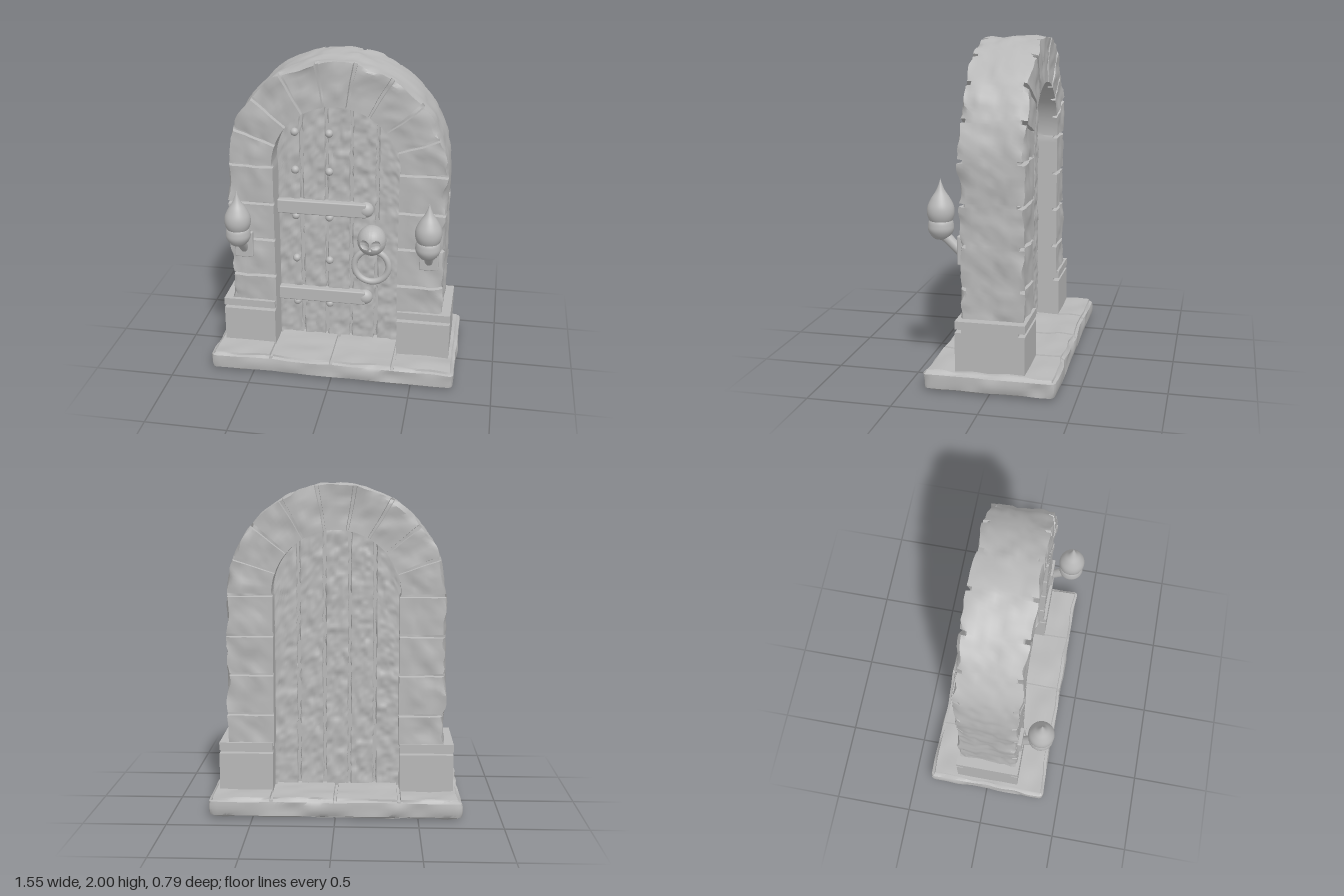
import * as THREE from 'three';
import { mergeVertices, toCreasedNormals } from 'three/addons/utils/BufferGeometryUtils.js';
import { RoundedBoxGeometry } from 'three/addons/geometries/RoundedBoxGeometry.js';

const stone = new THREE.MeshStandardMaterial({ color: 0xb8b8b8 });
stone.name = 'grey stone';

// Smooth repeatable noise in -1..1
function hash(i, j, k) {
  const s = Math.sin(i * 127.1 + j * 311.7 + k * 74.7) * 43758.5453;
  return s - Math.floor(s);
}
function noise(x, y, z) {
  const p = [x, y, z], b = p.map(Math.floor);
  const f = p.map((v, n) => (v - b[n]) ** 2 * (3 - 2 * (v - b[n])));
  let sum = 0;
  for (let c = 0; c < 8; c++) {
    const d = [c & 1, (c >> 1) & 1, c >> 2];
    const w = d.reduce((a, on, n) => a * (on ? f[n] : 1 - f[n]), 1);
    sum += w * hash(b[0] + d[0], b[1] + d[1], b[2] + d[2]);
  }
  return sum * 2 - 1;
}

// Move every vertex by a rule, then rebuild normals with sharp creases
function reshape(geometry, rule, crease = 0.65) {
  geometry.deleteAttribute('uv');
  geometry.deleteAttribute('normal');
  const g = mergeVertices(geometry, 1e-5), p = g.attributes.position;
  for (let i = 0; i < p.count; i++) p.setXYZ(i, ...rule(p.getX(i), p.getY(i), p.getZ(i)));
  return toCreasedNormals(g, crease);
}

// Positions along a course of stones, with four tight cuts round each joint
function courseCuts(start, end, joints, parts) {
  const cuts = [start];
  [...joints, end].forEach((j, n, all) => {
    const a = cuts[cuts.length - 1], b = n < all.length - 1 ? j - 0.011 : j;
    for (let i = 1; i <= parts; i++) cuts.push(a + (b - a) * i / parts);
    if (n < all.length - 1) cuts.push(j - 0.008, j + 0.008, j + 0.011);
  });
  return cuts;
}
const inJoint = (s, joints) => joints.some(j => Math.abs(s - j) < 0.0085);

function add(parent, name, geometry, x = 0, y = 0, z = 0) {
  const mesh = new THREE.Mesh(geometry, stone);
  mesh.name = name;
  mesh.position.set(x, y, z);
  parent.add(mesh);
  return mesh;
}

// Paved slab with worn, rounded edges and joints across the top
function baseSlab() {
  const joints = [-0.385, 0, 0.385], cuts = courseCuts(-0.76, 0.76, joints, 14), n = cuts.length - 1;
  return reshape(new THREE.BoxGeometry(n, 1, 2, n, 6, 32), (i, h, d) => {
    const x = cuts[Math.round(i + n / 2)], t = h + 0.5;
    const endX = Math.abs(x) > 0.75, endZ = Math.abs(d) > 0.99;
    const rim = Math.abs(h) > 0.49 ? 0.02 : Math.abs(h) > 0.3 ? 0.003 : 0;
    let y = t * 0.128;
    if (t > 0.99) {
      y += 0.008 * noise(x * 7, 3, d * 4);
      if (endX || endZ) y -= 0.012;
      if (inJoint(x, joints)) y -= 0.015;
    }
    if (t < 0.01) y += 0.007 + 0.007 * noise(x * 12, 11, d * 5) + (endX || endZ ? 0.006 : 0);
    const corner = endX && endZ ? 0.008 : 0;
    const wob = 0.011 * noise(x * 8, t * 2, d * 4);
    const push = Math.max(0, Math.abs(x) - 0.6) / 0.16;
    return [
      x + Math.sign(x) * push * (wob - rim * (endX ? 1 : 0) - corner + 0.004), y,
      d * (0.386 + wob - (endZ ? rim : 0) - corner)];
  });
}

// Pillars and arch as one band of stones bent round the opening
function archBand() {
  const leg = 0.935, foot = 0.4, arc = Math.PI * 0.53, total = 2 * leg + arc;
  const legJoints = [0.2, 0.45, 0.69, leg];
  const joints = [...legJoints];
  for (let k = 1; k < 9; k++) joints.push(leg + arc * k / 9);
  joints.push(...legJoints.map(j => total - j).reverse());
  const cuts = courseCuts(0, total, joints, 8), n = cuts.length - 1;
  return reshape(new THREE.BoxGeometry(n, 1, 2, n, 10, 10), (i, h, d) => {
    const s = cuts[Math.round(i + n / 2)], t = h + 0.5;
    const face = Math.abs(d) > 0.99, outer = t > 0.99;
    const inArch = s > leg && s < total - leg;
    const inner = inArch ? 0.391 : 0.383, rim = inArch ? 0.659 : 0.663;
    let r = inner + t * (rim - inner) + t * (0.011 * noise(s * 7, d * 2, 5) + 0.006 * noise(s * 19, d * 5, 9));
    let z = d * (0.187 + (0.011 * noise(s * 9, t * 3, d * 3 + 20) + 0.004 * noise(s * 24, t * 7, d)) * Math.min(1, t * 3));
    if (face && outer) { // chipped outer corners
      r -= 0.018 * Math.max(0, noise(s * 16, 2, d * 7));
      z -= d * 0.02 * Math.max(0, noise(s * 14, 8, d * 7));
    }
    if (face && inJoint(s, joints)) z -= d * 0.03;
    const along = s + 0.004 * noise(s * 4, t * 2, d + 30); // joints slightly uneven
    if (s <= leg) return [-r, foot + along, z];
    if (s >= total - leg) return [r, foot + total - along, z];
    const a = Math.PI * (1 - (along - leg) / arc);
    return [r * Math.cos(a), foot + leg + r * Math.sin(a), z];
  }, 0.7);
}

// Rough plank whose top follows the arch
function plank(x0, x1, seed) {
  return reshape(new THREE.BoxGeometry(1, 1, 2, 12, 120, 2), (u, v, d) => {
    const t = v + 0.5, side = u * 2, edge = Math.abs(side) > 0.99;
    let x = x0 + (x1 - x0) * (u + 0.5);
    const top = 1.335 + Math.sqrt(Math.max(0, 0.41 ** 2 - x * x));
    const y = 0.1 + t * (top - 0.1);
    const rough = 0.007 * noise(x * 26, y * 16, d * 2 + seed) + 0.004 * noise(x * 50, y * 34, d * 3 + seed);
    if (edge && Math.abs(x) < 0.39)
      x -= side * (0.01 + 0.01 * noise(y * 22, seed * 3 + side, d * 2));
    return [x, y, d * (0.05 - (edge ? 0.01 : 0) + rough) - 0.01];
  }, 0.7);
}

function createDoor() {
  const door = new THREE.Group();
  door.name = 'door';
  const edges = [-0.4, -0.235, -0.08, 0.075, 0.235, 0.4];
  for (let i = 0; i < 5; i++) add(door, 'plank', plank(edges[i], edges[i + 1], i + 1));

  // Core closing the gaps between planks
  const shape = new THREE.Shape();
  shape.moveTo(-0.4, 0.1).lineTo(0.4, 0.1).lineTo(0.4, 1.335);
  shape.absarc(0, 1.335, 0.4, 0, Math.PI, false);
  add(door, 'doorCore', new THREE.ExtrudeGeometry(shape, { depth: 0.05, bevelEnabled: false, curveSegments: 32 }), 0, 0, -0.035);

  // Hinge straps with rounded ends
  for (const y of [0.427, 1.033]) {
    add(door, 'hingeStrap', new RoundedBoxGeometry(0.565, 0.09, 0.06, 3, 0.008), -0.1125, y, 0.05);
    add(door, 'strapEnd', new THREE.SphereGeometry(0.05, 32, 20), 0.165, y, 0.042).scale.z = 0.85;
  }
  // Studs
  for (const x of [-0.275, -0.063])
    for (const y of [0.36, 0.67, 0.965, 1.27, 1.515])
      add(door, 'stud', new THREE.SphereGeometry(0.025, 16, 12), x, y, 0.045);

  // Skull knocker with eye and nose hollows, and its ring
  const hollows = [[-0.034, 0, 0.028], [0.034, 0, 0.028], [0, -0.028, 0.009]];
  const skull = reshape(new THREE.SphereGeometry(0.09, 120, 80), (x, y, z) => {
    const dent = z > 0 ? Math.max(...hollows.map(([hx, hy, r]) => 1 - Math.hypot(x - hx, y - hy) / r)) : 0;
    return [x, y * 1.08, z - 0.025 * Math.sqrt(Math.max(0, dent))];
  }, 0.7);
  add(door, 'skullKnocker', skull, 0.21, 0.848, 0.085);
  add(door, 'knockerRing', new THREE.TorusGeometry(0.108, 0.02, 16, 48), 0.21, 0.67, 0.085);
  return door;
}

function createTorch(x) {
  const torch = new THREE.Group();
  torch.name = 'torch';
  torch.position.x = x;
  add(torch, 'wallPlate', new RoundedBoxGeometry(0.115, 0.17, 0.03, 2, 0.006), 0, 0.815, 0.194);
  const arm = add(torch, 'arm', new THREE.CylinderGeometry(0.033, 0.026, 0.17, 20), 0, 0.843, 0.25);
  arm.rotation.x = Math.PI / 4;
  const lathe = pts => new THREE.LatheGeometry(
    new THREE.SplineCurve(pts.map(p => new THREE.Vector2(...p))).getPoints(32), 32);
  add(torch, 'cup', lathe([[0, 0.862], [0.042, 0.873], [0.07, 0.91], [0.075, 0.945], [0.06, 0.985], [0, 1.0]]), 0, 0, 0.318);
  add(torch, 'flame', lathe([[0, 0.94], [0.053, 0.96], [0.077, 1.005], [0.077, 1.055], [0.055, 1.105], [0.029, 1.145], [0.013, 1.18], [0, 1.22]]), 0, 0, 0.318);
  return torch;
}

export function createModel() {
  const model = new THREE.Group();
  model.name = 'archedDoorway';
  add(model, 'baseSlab', baseSlab());
  add(model, 'stoneArch', archBand());
  model.add(createDoor());
  for (const side of [-1, 1]) {
    // Plinth: block, recessed groove and cap
    const x = side * 0.555;
    add(model, 'plinthBlock', new THREE.BoxGeometry(0.33, 0.255, 0.41), x, 0.2275, 0);
    add(model, 'plinthGroove', new THREE.BoxGeometry(0.33, 0.02, 0.33), x, 0.365, 0);
    add(model, 'plinthCap', new THREE.BoxGeometry(0.33, 0.048, 0.41), x, 0.399, 0);
    model.add(createTorch(side * 0.575));
  }
  return model;
}
